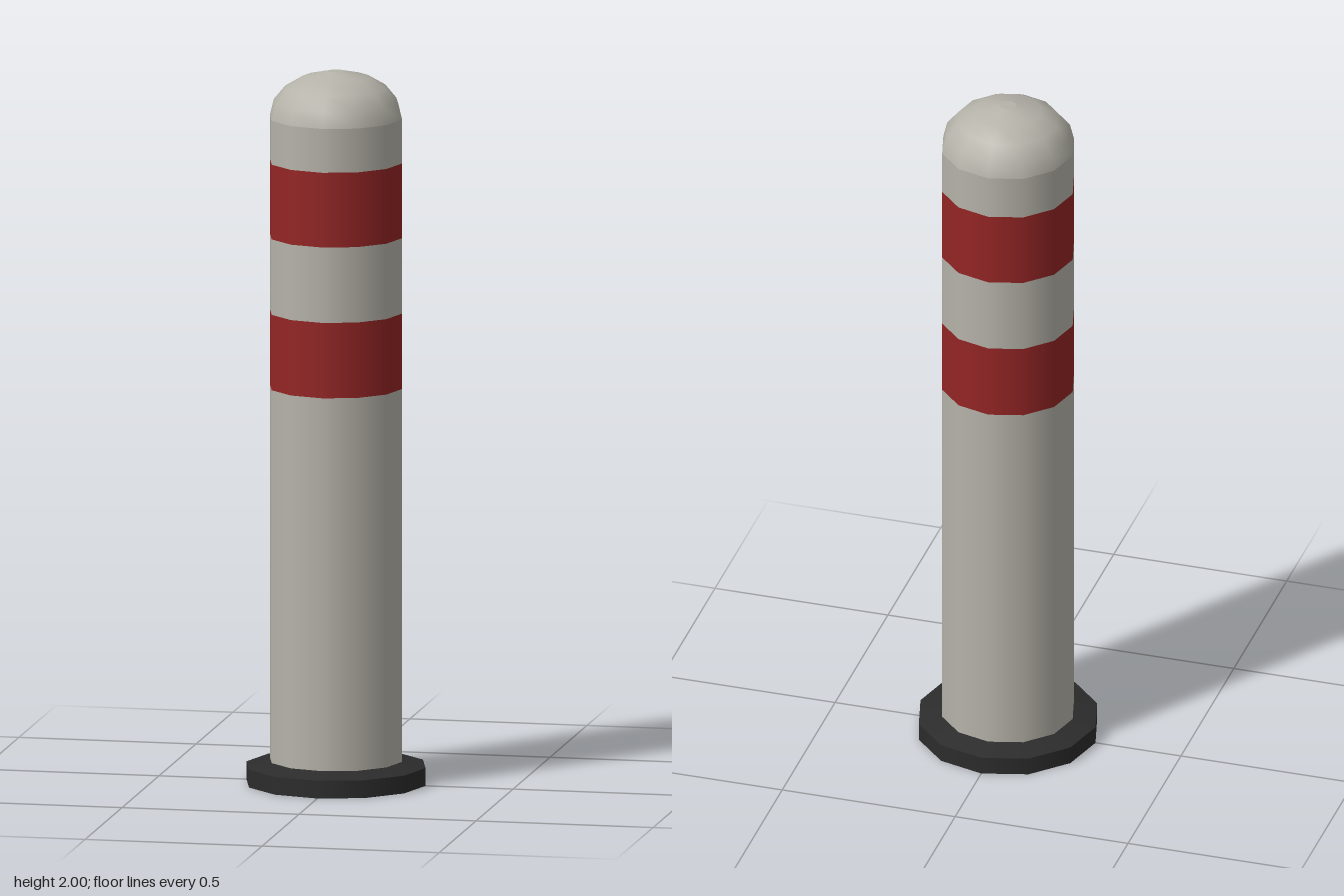
import * as THREE from 'three';

const SIDES = 12;
const R = 0.187;      // post radius
const BASE_R = 0.253; // foot radius

export function createModel() {
  const group = new THREE.Group();
  const material = (name, color) => {
    const m = new THREE.MeshStandardMaterial({ color, side: THREE.DoubleSide });
    m.name = name;
    return m;
  };
  const postGrey = material('warm grey', 0xb5b3a9);
  const bandRed = material('band red', 0x942525);
  const rubber = material('rubber black', 0x2c2c2c);

  // Open shell turned around the y axis, profile given as [radius, height]
  const turn = (name, profile, mat) => {
    const points = profile.map(([r, y]) => new THREE.Vector2(r, y));
    const mesh = new THREE.Mesh(new THREE.LatheGeometry(points, SIDES), mat);
    mesh.name = name;
    group.add(mesh);
  };

  // Hollow foot: upright rim and sloping top
  turn('footRim', [[BASE_R, 0], [BASE_R, 0.05]], rubber);
  turn('footSlope', [[BASE_R, 0.05], [R, 0.065]], rubber);

  // Post, split into plain and painted sections
  const levels = [0.065, 1.113, 1.325, 1.537, 1.747, 1.87];
  for (let i = 0; i < levels.length - 1; i++) {
    const red = i % 2 === 1;
    turn(red ? 'redBand' : 'postSection', [[R, levels[i]], [R, levels[i + 1]]], red ? bandRed : postGrey);
  }

  // Rounded top with a small flat centre
  const dome = [0, 20, 40, 60, 83].map((deg) => {
    const a = THREE.MathUtils.degToRad(deg);
    return [R * Math.cos(a), 1.87 + 0.131 * Math.sin(a)];
  });
  turn('dome', dome, postGrey);
  turn('domeCentre', [dome[4], [0, 2]], postGrey);

  return group;
}
